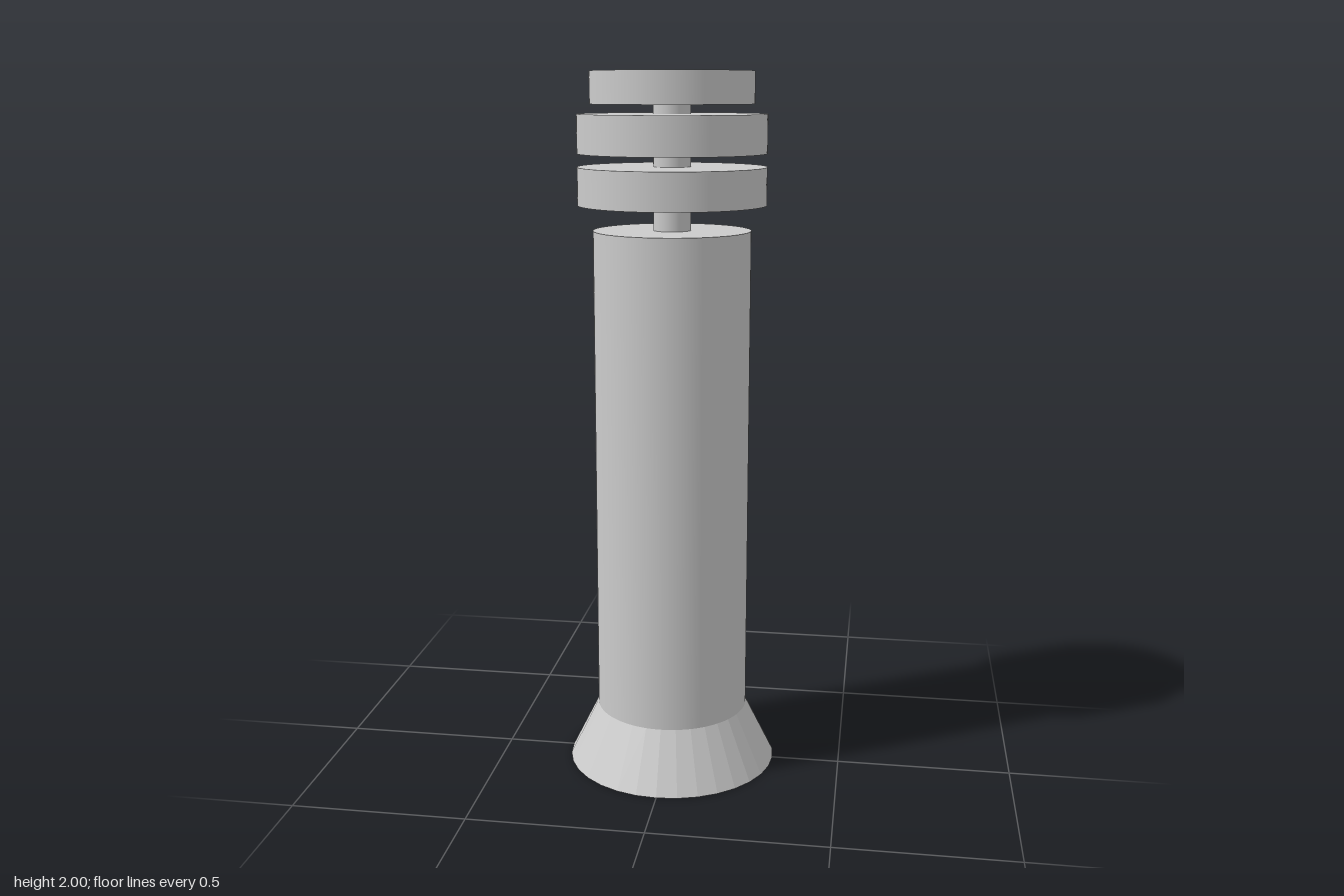
import * as THREE from 'three';

export function createModel() {
  const group = new THREE.Group();
  const smooth = new THREE.MeshStandardMaterial({ color: 0xcccccc });
  const faceted = new THREE.MeshStandardMaterial({ color: 0xcccccc, flatShading: true });

  // A round, capped section from height y0 to y1
  function section(name, y0, y1, bottomRadius, topRadius = bottomRadius, sides = 96, material = smooth) {
    const geometry = new THREE.CylinderGeometry(topRadius, bottomRadius, y1 - y0, sides);
    const mesh = new THREE.Mesh(geometry, material);
    mesh.name = name;
    mesh.position.y = (y0 + y1) / 2;
    group.add(mesh);
  }

  // Flared, faceted foot and the main column
  section('flaredBase', 0, 0.17, 0.304, 0.22, 32, faceted);
  section('column', 0.17, 1.57, 0.22);

  // Thin stem carrying the stacked discs
  section('stem', 1.57, 1.915, 0.052);
  section('lowerDisc', 1.64, 1.744, 0.262);
  section('upperDisc', 1.78, 1.886, 0.262);
  section('topCap', 1.912, 2, 0.226);

  return group;
}
